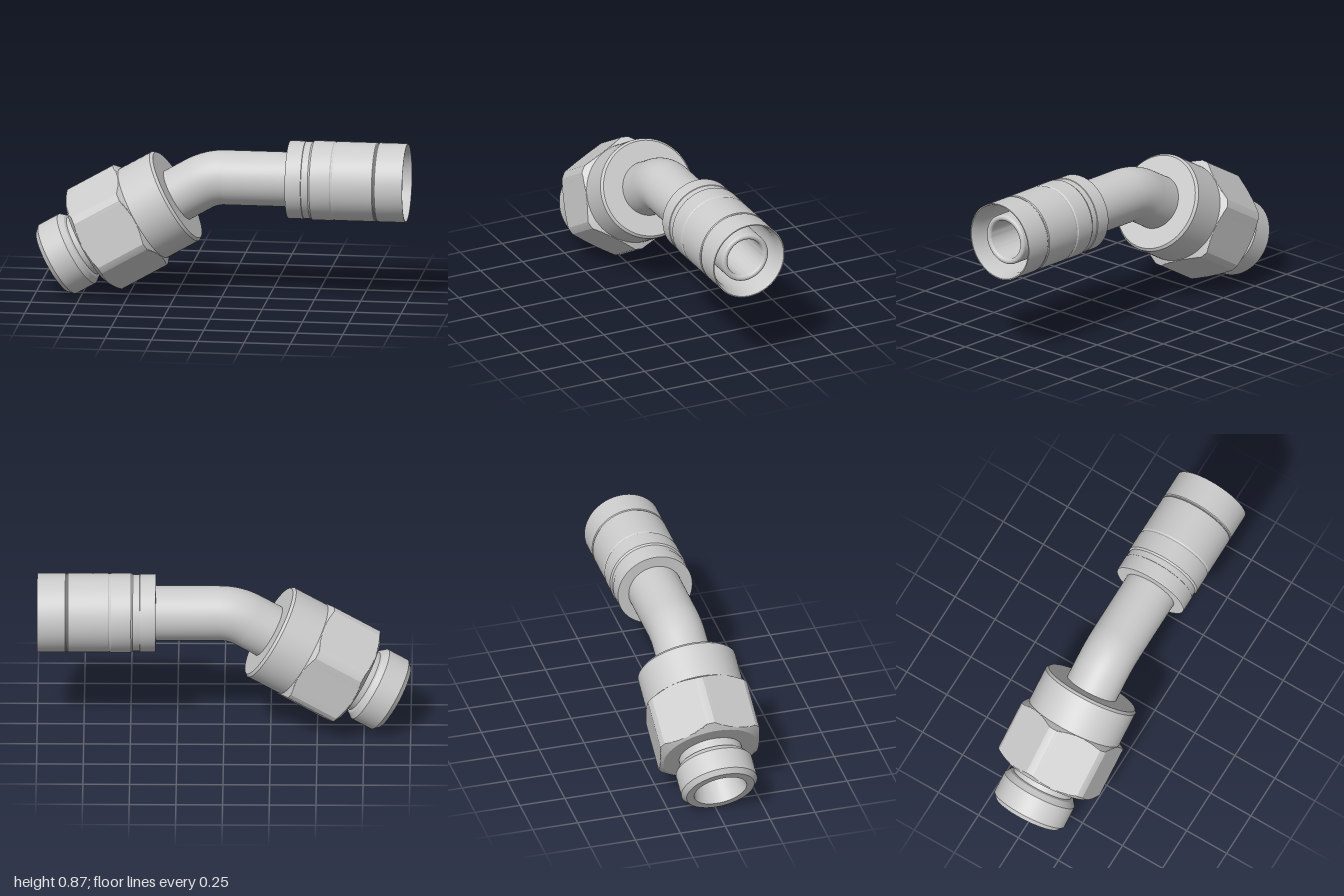
import * as THREE from 'three';
import { toCreasedNormals } from 'three/addons/utils/BufferGeometryUtils.js';

const material = new THREE.MeshStandardMaterial({ color: 0xcccccc });
const innerMaterial = new THREE.MeshStandardMaterial({ color: 0xcccccc, side: THREE.BackSide });

const TUBE_R = 0.147, BORE_R = 0.105, BEND_R = 0.29, AXIS_Y = 0.665;
const BEND_X = 0.02;            // where the straight run meets the bend
const BEND_ANGLE = Math.PI / 6;
const TANGENT = BEND_R * Math.tan(BEND_ANGLE / 2);

function addMesh(parent, name, geometry, mat = material) {
  const mesh = new THREE.Mesh(geometry, mat);
  mesh.name = name;
  parent.add(mesh);
  return mesh;
}

// Turned part from [radius, height] points; outer side runs upward, inner side downward
function lathe(points, segments = 72) {
  return new THREE.LatheGeometry(points.map(([r, y]) => new THREE.Vector2(r, y)), segments);
}

function turned(parent, name, points) {
  return addMesh(parent, name, toCreasedNormals(lathe(points), 0.35));
}

// Points along a straight chamfer
function ramp([r0, y0], [r1, y1], steps) {
  return Array.from({ length: steps + 1 }, (_, i) => {
    const t = i / steps;
    return [r0 + (r1 - r0) * t, y0 + (y1 - y0) * t];
  });
}

// Hex nut: a chamfered turned blank with six flats cut into it
function hexNutGeometry() {
  const flat = 0.273, sector = Math.PI / 3, firstFlat = Math.PI / 30;
  const geometry = lathe([
    [0.16, 0.415], [0.262, 0.415],
    ...ramp([0.265, 0.417], [0.304, 0.442], 10),
    ...ramp([0.304, 0.724], [0.258, 0.752], 10),
    [0.16, 0.752],
  ], 180);
  const pos = geometry.attributes.position;
  for (let i = 0; i < pos.count; i++) {
    const x = pos.getX(i), z = pos.getZ(i), r = Math.hypot(x, z);
    const a = Math.atan2(x, z) - firstFlat;
    const off = a - Math.round(a / sector) * sector;
    const k = Math.min(1, flat / Math.cos(off) / r);
    pos.setX(i, x * k);
    pos.setZ(i, z * k);
  }
  return toCreasedNormals(geometry, 0.35);
}

export function createModel() {
  const model = new THREE.Group();
  model.name = 'angledHoseFitting';

  // Hose end: turned parts along +x
  const hoseEnd = new THREE.Group();
  hoseEnd.name = 'hoseEnd';
  hoseEnd.rotation.z = -Math.PI / 2;
  hoseEnd.position.y = AXIS_Y;
  model.add(hoseEnd);

  // Straight tube continuing as the nipple with a rounded lip
  const lipMid = (0.137 + BORE_R) / 2, lipR = (0.137 - BORE_R) / 2;
  const lip = Array.from({ length: 13 }, (_, i) => {
    const a = Math.PI * i / 12;
    return [lipMid + lipR * Math.cos(a), 0.945 + lipR * Math.sin(a)];
  });
  turned(hoseEnd, 'straightTube', [
    [TUBE_R, BEND_X], [TUBE_R, 0.44], [0.137, 0.46], ...lip, [BORE_R, BEND_X],
  ]);

  // Crimped shell, open at the hose side
  turned(hoseEnd, 'ferrule', [
    [0.14, 0.365], [0.207, 0.365], [0.209, 0.37], [0.209, 0.45], [0.206, 0.452],
    [0.206, 0.488], [0.213, 0.498], [0.213, 0.605], [0.209, 0.611], [0.209, 0.615],
    [0.212, 0.62], [0.212, 0.835], [0.208, 0.84], [0.208, 0.845], [0.212, 0.85],
    [0.212, 1], [0.206, 1], [0.19, 0.93], [0.19, 0.46], [0.13, 0.46],
  ]);

  // Bend with its bore
  const bend = new THREE.Group();
  bend.name = 'bend';
  bend.position.set(BEND_X, AXIS_Y - BEND_R, 0);
  bend.rotation.z = Math.PI / 2;
  model.add(bend);
  addMesh(bend, 'bendOutside', new THREE.TorusGeometry(BEND_R, TUBE_R, 72, 20, BEND_ANGLE));
  addMesh(bend, 'bendBore', new THREE.TorusGeometry(BEND_R, BORE_R, 72, 20, BEND_ANGLE), innerMaterial);

  // Threaded end: turned parts along the lower axis, measured from the axis crossing
  const threadedEnd = new THREE.Group();
  threadedEnd.name = 'threadedEnd';
  threadedEnd.rotation.z = Math.PI / 2 + BEND_ANGLE;
  threadedEnd.position.set(BEND_X - TANGENT, AXIS_Y, 0);
  model.add(threadedEnd);

  turned(threadedEnd, 'angledTube', [
    [TUBE_R, TANGENT], [TUBE_R, 0.3], [BORE_R, 0.3], [BORE_R, TANGENT],
  ]);
  turned(threadedEnd, 'collar', [
    [0.14, 0.21], [0.258, 0.21], [0.27, 0.224], [0.27, 0.425], [0.14, 0.425],
  ]);
  addMesh(threadedEnd, 'hexNut', hexNutGeometry());

  // Threaded stub with relief groove and tapered seat
  turned(threadedEnd, 'threadedStub', [
    [0.172, 0.74], [0.172, 0.8], [0.188, 0.806], [0.21, 0.835], [0.21, 0.955],
    [0.187, 0.981], [0.145, 0.981], [BORE_R, 0.79], [BORE_R, 0.3],
  ]);

  return model;
}
